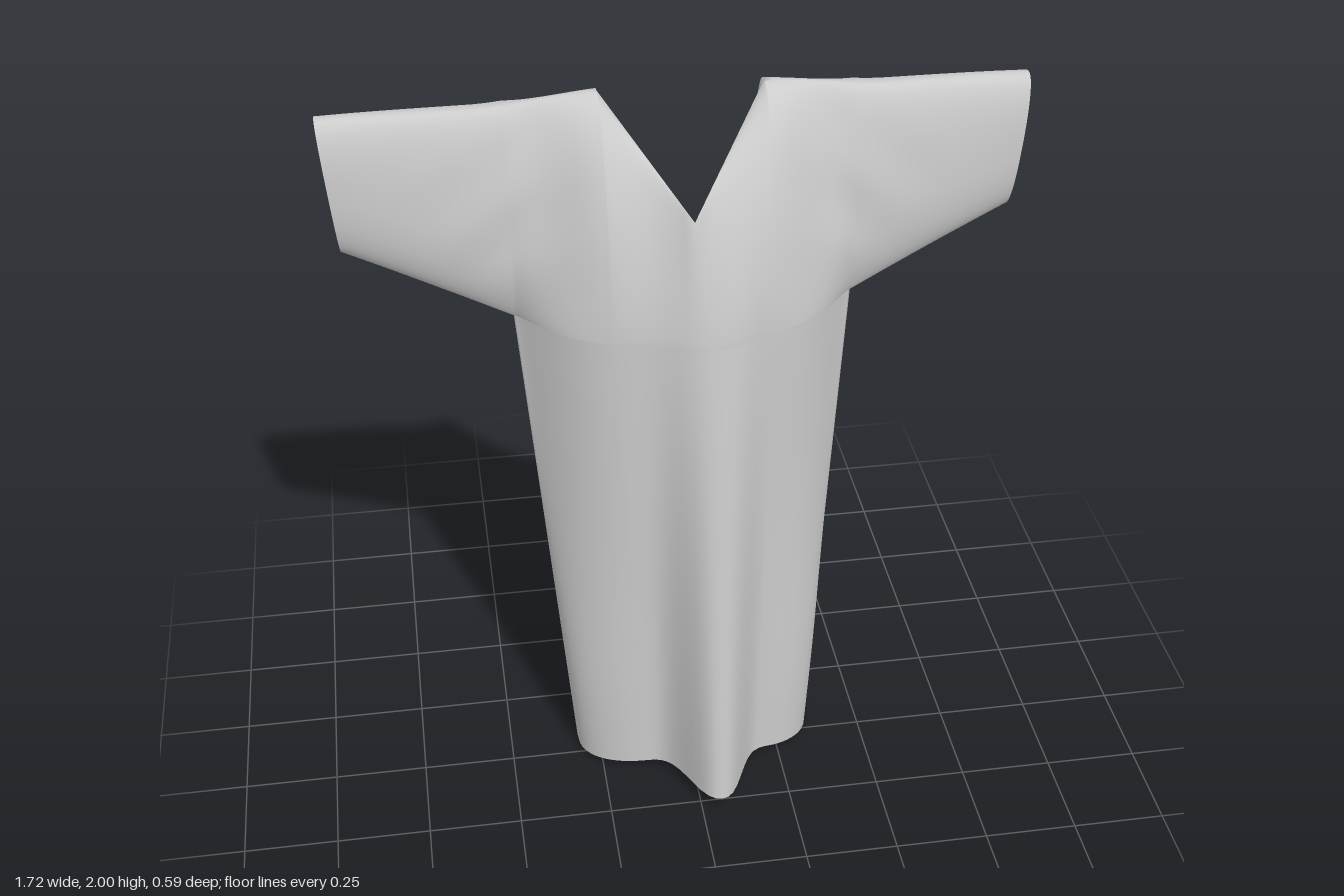
import * as THREE from 'three';
import { mergeVertices } from 'three/addons/utils/BufferGeometryUtils.js';

const { lerp, smoothstep } = THREE.MathUtils;
const ARMPIT_X = 0.425, ARMPIT_Y = 1.43, NECK_X = 0.2, CUFF_X = 0.86, SEAM_Z = -0.06;

// Falloff from 1 at a = 0 to 0 at a = 1; a smaller power gives a rounder shoulder
const falloff = (a, n, power = 1 / n) => Math.pow(Math.max(0, 1 - Math.pow(Math.min(1, Math.abs(a)), n)), power);
const bell = (x, centre, width, n = 2) => Math.exp(-Math.pow(Math.abs((x - centre) / width), n));

// Column positions: neck, shoulders and sleeves, denser where the cloth turns
function columns() {
  const neck = [], shoulder = [], sleeve = [];
  for (let i = 0; i <= 28; i++) neck.push(NECK_X * Math.sin(Math.PI * (i / 28 - 0.5)));
  for (let i = 1; i <= 16; i++) {
    const u = i / 16;
    shoulder.push(lerp(NECK_X, ARMPIT_X, lerp(u, Math.sin(u * Math.PI / 2), 0.75)));
  }
  for (let i = 1; i <= 20; i++) sleeve.push(lerp(ARMPIT_X, CUFF_X, i / 20));
  const mirrored = (a) => a.map((x) => -x).reverse();
  const torso = [...mirrored(shoulder), ...neck, ...shoulder];
  return { torso, all: [...mirrored(sleeve), ...torso, ...sleeve] };
}

// Fullness of the body across its width: rounded at the hem, pinched to a seam at the armpit
function fullness(s, h, front) {
  const pinch = smoothstep(h, 0.15, 1);
  return front
    ? falloff(s, lerp(2.7, 3.8, pinch), lerp(0.42, 1.3, pinch))
    : falloff(s, lerp(2.1, 2.3, pinch), lerp(0.52, 1.05, pinch));
}

// Depth of the body cloth at width fraction s (-1..1) and height y
function bodyZ(s, x, y, front) {
  const h = y / ARMPIT_Y;
  if (!front) return SEAM_Z - lerp(0.239, 0.228, h) * fullness(s, h, false);
  const base = SEAM_Z + lerp(0.17, 0.19, h) * fullness(s, h, true);
  // Off-centre pleat that deepens towards the hem, with a slight hollow beside it
  const deep = Math.pow(Math.max(0, 1 - y / 1.75), 0.85);
  const pleat = 0.185 * deep * bell(x, 0.05, lerp(0.086, 0.11, h), 2.5);
  const hollow = 0.01 * (1 - 0.6 * h) * (bell(x, 0.18, 0.05) + 0.5 * bell(x, -0.1, 0.06));
  return base + pleat - hollow * falloff(s, 2);
}

// Point on the lower body; v runs from hem to armpit
function bodyPoint(column, v, front) {
  const s = column / ARMPIT_X;
  const hem = 0.01 * Math.abs(s) + (front ? 0.045 * Math.pow(1 - Math.abs(s), 0.8) : 0);
  const y = lerp(hem, ARMPIT_Y, v);
  const half = lerp(0.33, ARMPIT_X, y / ARMPIT_Y);
  const x = half * s + 0.02 * (1 - y / ARMPIT_Y);
  return [x, y, bodyZ(s, x, y, front)];
}

// Point on the yoke and sleeves; v runs from the underarm line to the neck or shoulder line
function yokePoint(column, v, front) {
  const a = Math.abs(column);
  const t = (1 - Math.cos(Math.PI * v)) / 2;
  const out = Math.max(0, (a - ARMPIT_X) / (CUFF_X - ARMPIT_X));
  const n = Math.min(1, a / NECK_X);

  // Upper edge: V neck in front, deep U neck behind, then the shoulder
  let topY = 2 - 0.028 * smoothstep(a, NECK_X, 0.5) - 0.01 * out;
  let topZ = lerp(-0.1, -0.13, smoothstep(a, NECK_X, CUFF_X));
  if (n < 1) {
    topY = front ? lerp(1.75, 2, n) : lerp(1.45, 2, 1 - Math.pow(1 - n * n, 0.6));
    topZ = front ? lerp(0.12, -0.1, n) : -0.1 - 0.19 * Math.sqrt(1 - n ** 4);
  }
  const lowY = lerp(ARMPIT_Y, 1.61, out);
  const lowZ = out > 0 ? lerp(SEAM_Z, -0.13, out) : bodyZ(column / ARMPIT_X, column, ARMPIT_Y, front);

  // Sleeves are flattened tubes, pinched at the armpit; the chest rolls back over the shoulder
  const swell = (front ? 0.055 : lerp(-0.115, -0.065, out)) * (1 - fullness(column / ARMPIT_X, 1, front));
  const tube = falloff(2 * t - 1, 2.4, t < 0.5 ? lerp(0.85, 0.42, out) : 0.42);
  const sleeveZ = lerp(lowZ, topZ, t) + swell * tube;
  const chestZ = topZ + (lowZ - topZ) * falloff(t, front ? lerp(1.15, 1.8, n) : 2.2);
  const inner = 1 - smoothstep(a, NECK_X - 0.02, ARMPIT_X);
  const y = lerp(lowY, topY, t);

  // Soft drag folds running from the underarm up to the shoulder
  const fold = 0.004 * Math.sin((y + 0.9 * a) * 24) * bell(a, 0.42, 0.16) * Math.sin(Math.PI * t) ** 2;
  const x = Math.sign(column) * (a - 0.03 * out * (1 - t));
  return [x, y, lerp(sleeveZ, chestZ, inner) + fold];
}

// Adds a grid of cloth, facing +z in front and -z behind
function addGrid(positions, index, cols, rows, point, front) {
  const start = positions.length / 3, w = cols.length;
  for (let r = 0; r <= rows; r++) {
    for (const c of cols) positions.push(...point(c, r / rows, front));
  }
  for (let r = 0; r < rows; r++) {
    for (let c = 0; c < w - 1; c++) {
      const a = start + r * w + c, b = a + 1, d = a + w, e = d + 1;
      if (front) index.push(a, b, e, a, e, d);
      else index.push(a, e, b, a, d, e);
    }
  }
}

export function createModel() {
  const { torso, all } = columns();
  const positions = [], index = [];
  for (const front of [true, false]) {
    addGrid(positions, index, torso, 40, bodyPoint, front);
    addGrid(positions, index, all, 28, yokePoint, front);
  }
  // Welding the panels keeps the shading smooth across the seams
  let geometry = new THREE.BufferGeometry();
  geometry.setAttribute('position', new THREE.Float32BufferAttribute(positions, 3));
  geometry.setIndex(index);
  geometry = mergeVertices(geometry, 1e-5);
  geometry.computeVertexNormals();

  const cloth = new THREE.MeshStandardMaterial({ color: 0xcccccc, side: THREE.DoubleSide });
  const gown = new THREE.Mesh(geometry, cloth);
  gown.name = 'gown';
  const group = new THREE.Group();
  group.name = 'shortSleevedGown';
  group.add(gown);
  return group;
}
